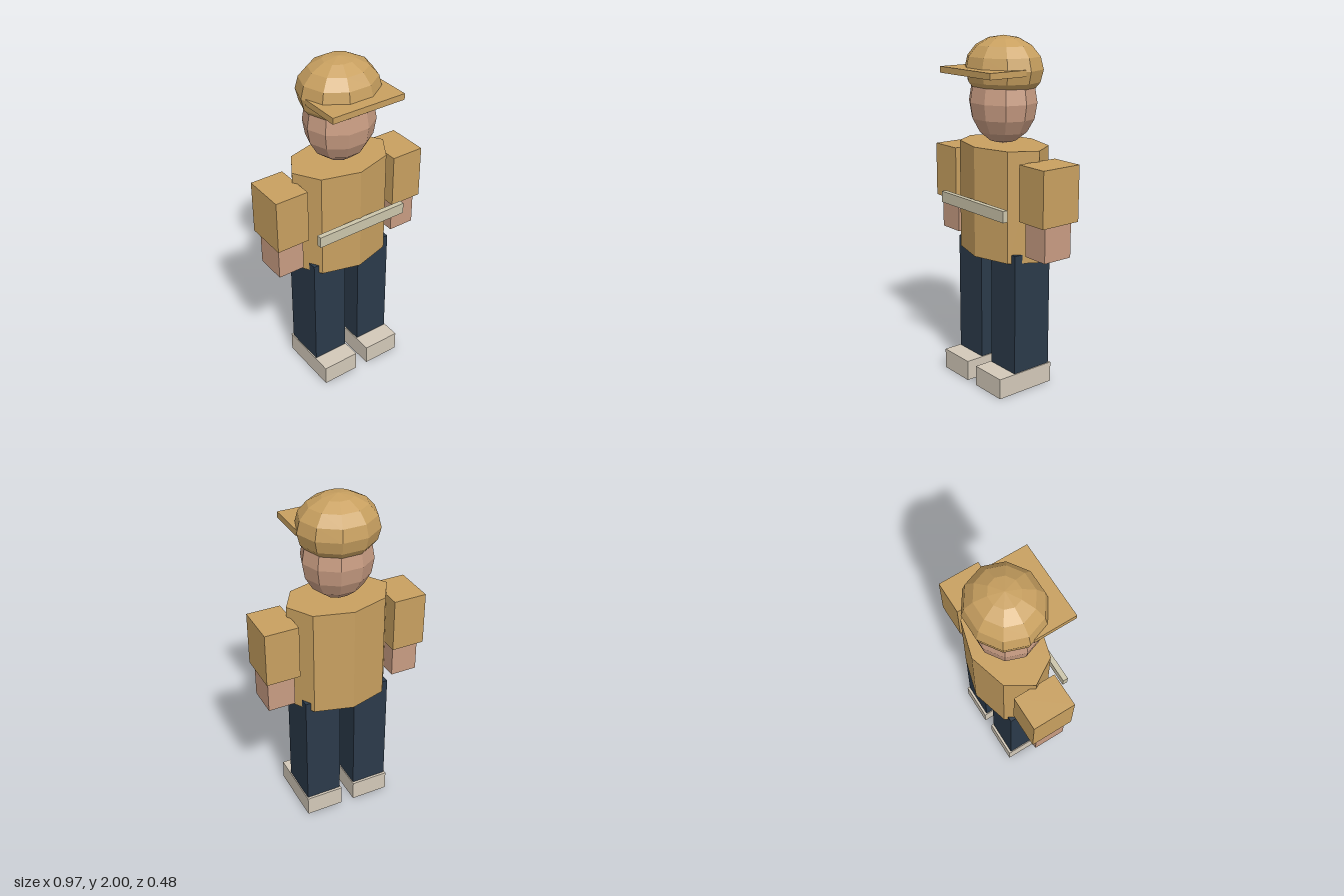
import * as THREE from 'three';

const mat = (color) => new THREE.MeshStandardMaterial({ color, flatShading: true });

export function createModel() {
  const model = new THREE.Group();
  const cloth = mat(0xc8a060), skin = mat(0xc89c82), navy = mat(0x2b3a4a);
  const shoeMat = mat(0xd3c9b9), beltMat = mat(0xccc5ab);

  const add = (name, geometry, material) => {
    const mesh = new THREE.Mesh(geometry, material);
    mesh.name = name;
    model.add(mesh);
    return mesh;
  };
  // box given by its limits on each axis
  const box = (name, material, [x0, x1], [y0, y1], [z0, z1]) =>
    add(name, new THREE.BoxGeometry(x1 - x0, y1 - y0, z1 - z0), material)
      .position.set((x0 + x1) / 2, (y0 + y1) / 2, (z0 + z1) / 2);
  // ten-sided low-poly ellipsoid
  const ball = (name, material, rx, ry, rz, y, z) =>
    add(name, new THREE.SphereGeometry(1, 10, 8).scale(rx, ry, rz), material).position.set(0, y, z);

  // eight-sided torso, wider than deep
  const torso = new THREE.CylinderGeometry(1, 1, 0.63, 8).scale(0.306, 1, 0.207);
  add('torso', torso, cloth).position.set(0, 1.09, -0.031);
  box('belt', beltMat, [-0.284, 0.284], [1.04, 1.105], [0.17, 0.2]);

  // head and cap
  ball('head', skin, 0.205, 0.235, 0.187, 1.64, -0.025);
  ball('cap', cloth, 0.234, 0.18, 0.215, 1.82, -0.031);
  box('capBrim', cloth, [-0.225, 0.225], [1.795, 1.83], [-0.005, 0.238]);

  // limbs, mirrored
  for (const [side, s] of [['left', 1], ['right', -1]]) {
    const span = (a, b) => (s > 0 ? [a, b] : [-b, -a]);
    box(side + 'Sleeve', cloth, span(0.289, 0.486), [1.03, 1.345], [-0.158, 0.094]);
    box(side + 'Hand', skin, span(0.309, 0.468), [0.83, 1.035], [-0.122, 0.063]);
    box(side + 'Leg', navy, span(0.046, 0.26), [0.115, 0.825], [-0.157, 0.095]);
    box(side + 'Shoe', shoeMat, span(0.04, 0.266), [0, 0.12], [-0.172, 0.205]);
  }
  return model;
}
